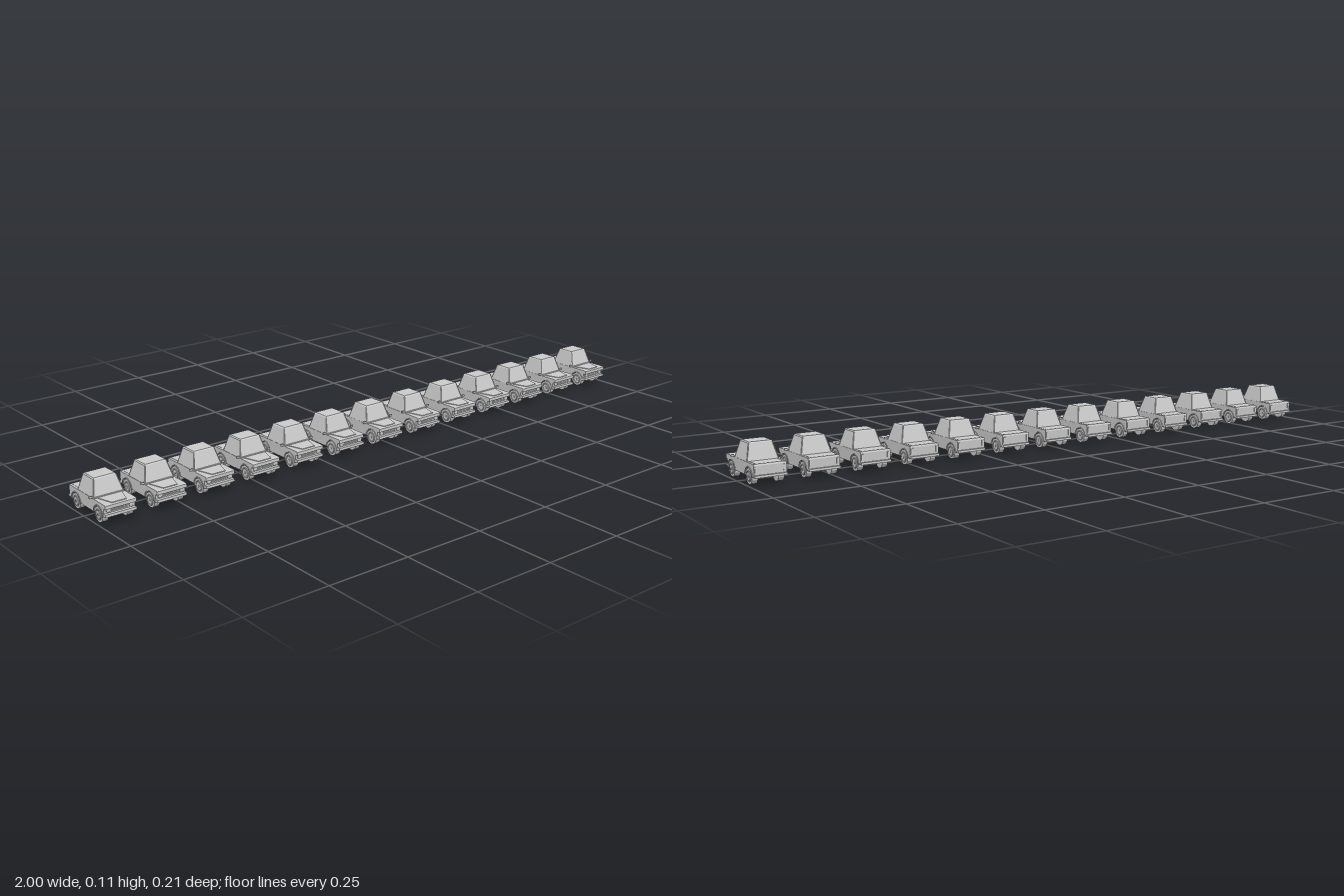
import * as THREE from 'three';

const grey = new THREE.MeshStandardMaterial({ color: 0xcccccc, flatShading: true, side: THREE.DoubleSide });

function add(parent, name, geometry, x = 0, y = 0, z = 0) {
  const mesh = new THREE.Mesh(geometry, grey);
  mesh.name = name;
  mesh.position.set(x, y, z);
  parent.add(mesh);
  return mesh;
}

const box = (w, h, d) => new THREE.BoxGeometry(w, h, d);
const disc = (r, w, n = 16) => new THREE.CylinderGeometry(r, r, w, n).rotateZ(Math.PI / 2);

// Extrude a (z, y) side profile across the width, centred on x = 0
function across(shape, width) {
  return new THREE.ExtrudeGeometry(shape, { depth: width, bevelEnabled: false, curveSegments: 10 })
    .rotateY(-Math.PI / 2).translate(width / 2, 0, 0);
}

// Box whose top face has its own half width and z range
function taperedBox(y0, y1, bottom, top) {
  const g = box(2, 1, 1);
  const p = g.attributes.position;
  for (let i = 0; i < p.count; i++) {
    const up = p.getY(i) > 0;
    const [half, back, front] = up ? top : bottom;
    p.setXYZ(i, p.getX(i) * half, up ? y1 : y0, p.getZ(i) > 0 ? front : back);
  }
  g.computeVertexNormals();
  return g;
}

// Flat panel from corners given in order
function panel(corners) {
  const g = new THREE.BufferGeometry();
  g.setAttribute('position', new THREE.Float32BufferAttribute(corners.flat(), 3));
  g.setIndex([0, 1, 2, 0, 2, 3]);
  g.computeVertexNormals();
  return g;
}

const axles = [-0.06, 0.063];

function bodyShape() {
  const s = new THREE.Shape();
  s.moveTo(-0.097, 0.03);
  s.lineTo(-0.085, 0.023);
  for (const z of axles) s.absarc(z, 0.023, 0.024, Math.PI, 0, true);
  s.lineTo(0.092, 0.023);
  s.lineTo(0.094, 0.047);
  s.lineTo(0.103, 0.048);
  s.lineTo(0.103, 0.058);
  s.lineTo(0.099, 0.06);
  s.lineTo(-0.096, 0.06);
  s.lineTo(-0.098, 0.056);
  return s;
}

function archShape() {
  const s = new THREE.Shape();
  s.absarc(0, 0, 0.0265, 0, Math.PI, false);
  s.absarc(0, 0, 0.0238, Math.PI, 0, true);
  return s;
}

function buildCar() {
  const car = new THREE.Group();

  // Lower body with wheel arches, and the underside between the wheels
  add(car, 'body', across(bodyShape(), 0.094));
  add(car, 'underbody', box(0.056, 0.034, 0.176), 0, 0.0395, 0.001);

  // Raised bonnet narrowing to the nose
  const bonnet = new THREE.Shape([[-0.037, 0.045], [0.037, 0.045], [0.022, 0.096], [-0.022, 0.096]]
    .map(([x, z]) => new THREE.Vector2(x, z)));
  add(car, 'bonnet', new THREE.ExtrudeGeometry(bonnet, { depth: 0.002, bevelEnabled: false })
    .rotateX(Math.PI / 2), 0, 0.062);
  add(car, 'bootLid', box(0.08, 0.001, 0.044), 0, 0.0602, -0.073);

  // Cabin and roof
  add(car, 'cabin', taperedBox(0.06, 0.108, [0.046, -0.048, 0.039], [0.034, -0.034, 0.023]));
  add(car, 'roof', taperedBox(0.107, 0.11, [0.0352, -0.0352, 0.0245], [0.032, -0.032, 0.021]));
  add(car, 'cowl', box(0.088, 0.003, 0.008), 0, 0.061, 0.039);

  for (const s of [-1, 1]) {
    // Pillar between the side windows
    add(car, 'doorPillar', panel([
      [s * 0.0466, 0.06, -0.012], [s * 0.0466, 0.06, -0.008],
      [s * 0.0346, 0.108, -0.013], [s * 0.0346, 0.108, -0.016]]));
    // Corner pillars
    for (const [z0, z1] of [[0.039, 0.023], [-0.048, -0.034]]) {
      const rod = new THREE.LineCurve3(
        new THREE.Vector3(s * 0.0455, 0.06, z0), new THREE.Vector3(s * 0.0337, 0.108, z1));
      add(car, 'cornerPillar', new THREE.TubeGeometry(rod, 1, 0.0012, 4));
    }
    // Wing mirror
    add(car, 'mirrorArm', box(0.012, 0.002, 0.002), s * 0.049, 0.063, 0.037);
    add(car, 'mirror', box(0.009, 0.006, 0.004), s * 0.0535, 0.0645, 0.037);
    // Lamps
    add(car, 'headlamp', disc(0.006, 0.004, 12).rotateY(Math.PI / 2), s * 0.034, 0.041, 0.094);
    add(car, 'tailLamp', box(0.008, 0.017, 0.004), s * 0.041, 0.045, -0.098);
    // Wheels and arch lips
    for (const z of axles) {
      add(car, 'archLip', across(archShape(), 0.003), s * 0.0472, 0.023, z);
      const wheel = new THREE.Group();
      wheel.name = 'wheel';
      wheel.position.set(s * 0.038, 0.0225, z);
      add(wheel, 'tyre', disc(0.0225, 0.017));
      add(wheel, 'rim', new THREE.TorusGeometry(0.0145, 0.0013, 4, 16).rotateY(Math.PI / 2), s * 0.0085);
      add(wheel, 'hubcap', disc(0.012, 0.002), s * 0.009);
      add(wheel, 'hub', disc(0.004, 0.002, 8), s * 0.0105);
      car.add(wheel);
    }
  }

  // Grille bars and bumpers
  for (let i = 0; i < 3; i++) add(car, 'grilleBar', box(0.05, 0.002, 0.003), 0, 0.037 + i * 0.004, 0.094);
  add(car, 'frontBumper', box(0.094, 0.008, 0.011), 0, 0.029, 0.0975);
  add(car, 'rearBumper', box(0.094, 0.007, 0.011), 0, 0.0265, -0.098);
  return car;
}

export function createModel() {
  const model = new THREE.Group();
  model.name = 'rowOfCars';
  const car = buildCar();
  const count = 13;
  for (let i = 0; i < count; i++) {
    const copy = car.clone();
    copy.name = 'car' + (i + 1);
    copy.position.x = (i - (count - 1) / 2) * 0.157;
    model.add(copy);
  }
  return model;
}
